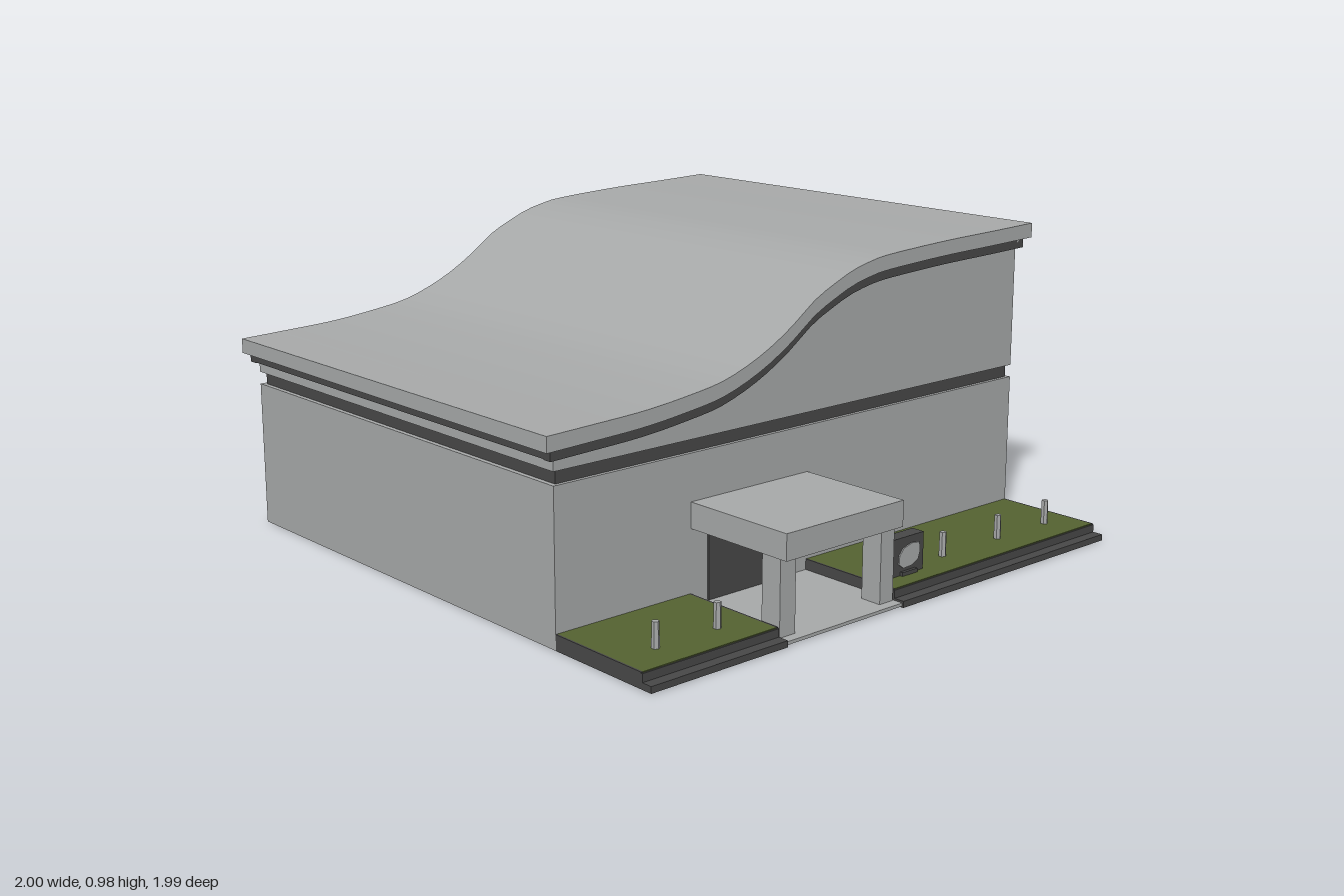
import * as THREE from 'three';
import { toCreasedNormals } from 'three/addons/utils/BufferGeometryUtils.js';

const mat = (name, color) => {
  const m = new THREE.MeshStandardMaterial({ color, side: THREE.DoubleSide });
  m.name = name;
  return m;
};

// Height of the wave-shaped roof at x
const wave = [[-1, .62], [-.84, .625], [-.66, .632], [-.5, .648], [-.36, .67], [-.22, .72], [-.1, .785],
  [0, .855], [.08, .893], [.16, .925], [.24, .944], [.32, .955], [.57, .968], [.8, .974], [1, .98]];
const curve = new THREE.SplineCurve(wave.map(p => new THREE.Vector2(...p))).getPoints(56);
function roofY(x) {
  const i = Math.max(1, curve.findIndex(p => p.x >= x));
  const a = curve[i - 1], b = curve[i];
  return a.y + (b.y - a.y) * (x - a.x) / (b.x - a.x);
}

// Outline between two edges running from x0 to x1
function bandShape(x0, x1, top, bottom, n = 44) {
  const pts = [];
  for (let i = 0; i <= n; i++) {
    const x = x0 + (x1 - x0) * i / n;
    pts.push(new THREE.Vector2(x, top(x)));
  }
  for (let i = n; i >= 0; i--) {
    const x = x0 + (x1 - x0) * i / n;
    pts.push(new THREE.Vector2(x, bottom(x)));
  }
  return new THREE.Shape(pts);
}

export function createModel() {
  const group = new THREE.Group();
  const concrete = mat('concrete', 0xa6a8a8);
  const dark = mat('dark trim', 0x474747);
  const grass = mat('grass', 0x546231);

  const add = (name, geo, material) => {
    const mesh = new THREE.Mesh(geo, material);
    mesh.name = name;
    group.add(mesh);
    return mesh;
  };
  const box = (name, material, x0, x1, y0, y1, z0, z1) => {
    const mesh = add(name, new THREE.BoxGeometry(x1 - x0, y1 - y0, z1 - z0), material);
    mesh.position.set((x0 + x1) / 2, (y0 + y1) / 2, (z0 + z1) / 2);
    return mesh;
  };
  const extrude = (name, material, shape, z0, z1) => {
    const geo = new THREE.ExtrudeGeometry(shape, { depth: z1 - z0, bevelEnabled: false });
    return add(name, toCreasedNormals(geo.translate(0, 0, z0), 0.5), material);
  };
  // Four walls around an open middle
  const ring = (name, material, x0, x1, y0, y1, z0, z1, t) => {
    box(name + 'Front', material, x0, x1, y0, y1, z1 - t, z1);
    box(name + 'Back', material, x0, x1, y0, y1, z0, z0 + t);
    box(name + 'Right', material, x0, x0 + t, y0, y1, z0 + t, z1 - t);
    box(name + 'Left', material, x1 - t, x1, y0, y1, z0 + t, z1 - t);
  };

  // Hollow hall: lower walls, recessed dark band, upper walls following the roof
  ring('lowerWall', concrete, -.96, .95, 0, .47, -.96, .59, .015);
  ring('recessBand', dark, -.945, .938, .47, .51, -.945, .578, .04);
  const gable = bandShape(-.96, .95, x => roofY(x) - .045, () => .51);
  extrude('upperWallFront', concrete, gable, .575, .59);
  extrude('upperWallBack', concrete, gable, -.96, -.945);
  box('upperWallRight', concrete, -.96, -.945, .51, .575, -.945, .575);
  box('upperWallLeft', concrete, .935, .95, .51, .93, -.945, .575);

  // Roof slab and the dark trim under its edge
  extrude('roofSlab', concrete, bandShape(-1, 1, roofY, x => roofY(x) - .047), -.995, .615);
  const trim = bandShape(-.98, .97, x => roofY(x) - .046, x => roofY(x) - .077);
  extrude('roofTrimFront', dark, trim, .575, .604);
  extrude('roofTrimBack', dark, trim, -.98, -.945);
  box('roofTrimRight', dark, -.98, -.95, .546, .577, -.975, .6);
  box('roofTrimLeft', concrete, .94, .971, .902, .933, -.975, .604);

  // Lawns with stepped dark kerbs
  for (const [x0, x1] of [[-.96, -.465], [.005, .95]]) {
    box('lawn', grass, x0 + .006, x1 - .006, .03, .048, .59, .95);
    box('kerbFront', dark, x0, x1, 0, .045, .948, .955);
    box('kerbStep', dark, x0, x1, 0, .02, .955, .99);
    box('kerbSide', dark, x0, x0 + .006, 0, .048, .59, .95);
    box('kerbSide', dark, x1 - .006, x1, 0, .048, .59, .95);
  }

  // Entrance: path, door, and porch on two posts
  box('path', concrete, -.465, .005, .004, .014, .59, .985);
  box('doorOutside', dark, -.4, -.05, .014, .25, .59, .596);
  box('doorInside', dark, -.4, -.05, .014, .25, .569, .575);
  box('porchRoof', concrete, -.465, .005, .245, .325, .59, .98);
  box('porchPost', concrete, -.46, -.4, .01, .245, .88, .952);
  box('porchPost', concrete, -.055, 0, .01, .245, .88, .952);

  // Sign block with sloping back and a pale irregular panel
  const side = new THREE.Shape([[.815, .045], [.885, .045], [.885, .165], [.84, .165]]
    .map(([z, y]) => new THREE.Vector2(-z, y)));
  const block = new THREE.ExtrudeGeometry(side, { depth: .135, bevelEnabled: false });
  add('signBlock', block.rotateY(Math.PI / 2).translate(.07, 0, 0), dark);
  const blob = new THREE.Shape([[.095, .085], [.115, .07], [.15, .072], [.178, .085], [.187, .11],
    [.183, .138], [.15, .142], [.115, .132], [.097, .112]].map(p => new THREE.Vector2(...p)));
  extrude('signPanel', concrete, blob, .885, .889);
  box('signFoot', dark, .105, .17, .045, .06, .885, .895);

  // Bollards along the lawns
  for (const x of [-.82, -.595, .34, .6, .835]) {
    const post = add('bollard', new THREE.CylinderGeometry(.011, .012, .08, 6).toNonIndexed(), concrete);
    post.geometry.computeVertexNormals();
    post.position.set(x, .085, .845);
  }
  return group;
}
